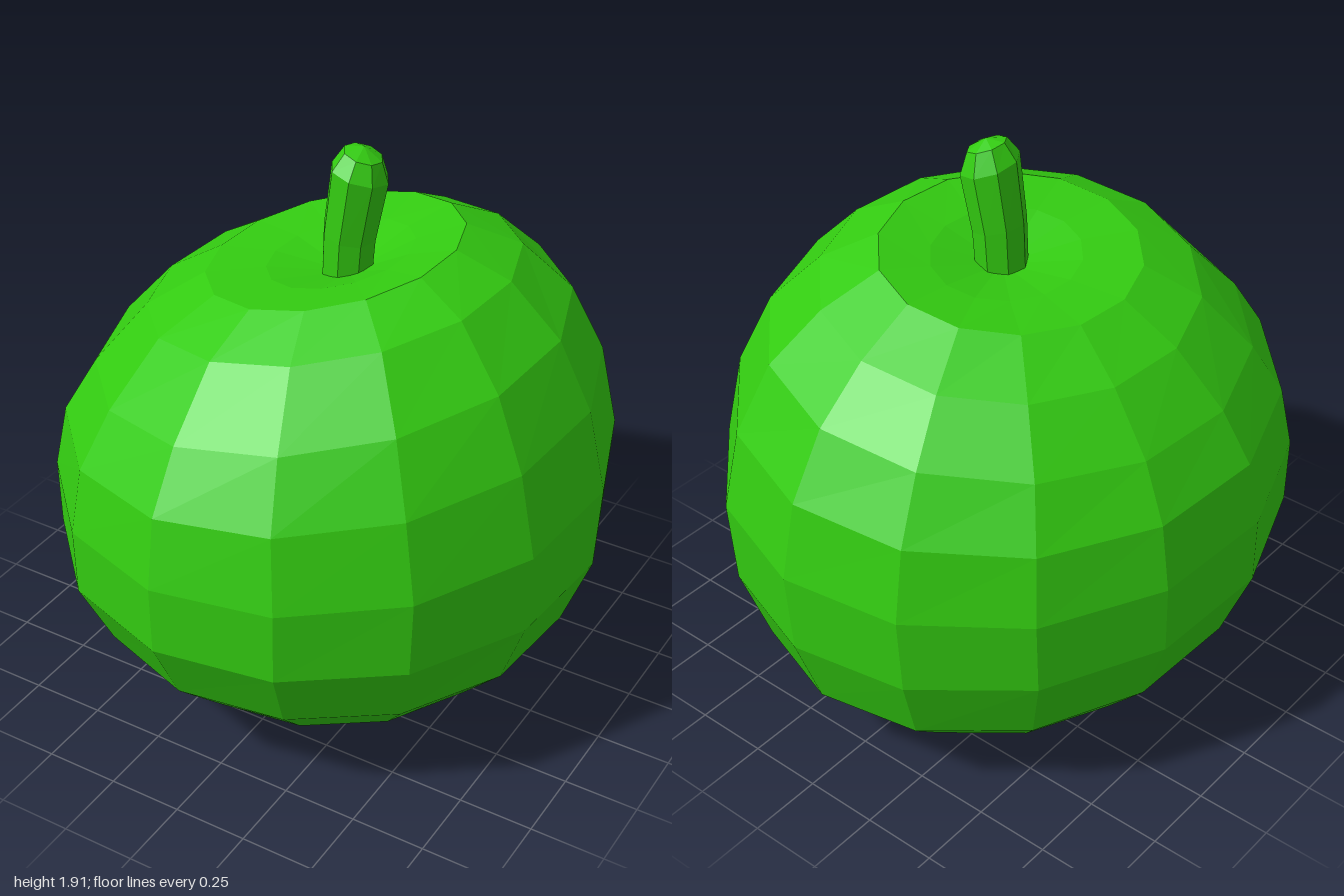
import * as THREE from 'three';

// Skin a stack of tilted elliptical rings, bottom to top, and close both ends with a fan.
// Ring: [cx, cy, cz, rx, rz, rise toward +x, rise toward +z]
function loft(rings, sides, turn, bottom, top) {
  const pos = [], index = [];
  for (const [cx, cy, cz, rx, rz, tx, tz] of rings) {
    for (let i = 0; i < sides; i++) {
      const a = turn + (i / sides) * Math.PI * 2;
      const s = Math.sin(a), c = Math.cos(a);
      pos.push(cx + rx * s, cy + tx * s + tz * c, cz + rz * c);
    }
  }
  const b = rings.length * sides, t = b + 1;
  pos.push(...bottom, ...top);
  for (let i = 0; i < sides; i++) {
    const j = (i + 1) % sides;
    for (let r = 0; r < rings.length - 1; r++) {
      const p = r * sides, q = p + sides;
      index.push(p + i, p + j, q + j, p + i, q + j, q + i);
    }
    const last = (rings.length - 1) * sides;
    index.push(b, j, i, t, last + i, last + j);
  }
  const geo = new THREE.BufferGeometry();
  geo.setAttribute('position', new THREE.Float32BufferAttribute(pos, 3));
  geo.setIndex(index);
  const flat = geo.toNonIndexed();
  flat.computeVertexNormals();
  return flat;
}

export function createModel() {
  const group = new THREE.Group();
  const green = new THREE.MeshStandardMaterial({ color: 0x33cc11, flatShading: true });

  // Round body: dimpled underneath, with a sunken top that leans up toward +x
  const bodyRings = [
    [0.03, 0.007, -0.03, 0.25, 0.27, -0.005, 0.003],
    [0.00, 0.031, -0.03, 0.41, 0.45, -0.008, 0.01],
    [-0.01, 0.135, -0.02, 0.62, 0.68, -0.005, 0.025],
    [-0.01, 0.325, -0.01, 0.79, 0.88, -0.01, 0.04],
    [-0.005, 0.575, 0.005, 0.885, 0.985, 0.0, 0.035],
    [0.0, 0.835, 0.0, 0.893, 0.998, 0.025, 0.015],
    [-0.01, 1.08, 0.0, 0.84, 0.95, 0.06, 0.0],
    [-0.015, 1.28, 0.0, 0.735, 0.83, 0.09, -0.012],
    [-0.02, 1.455, -0.01, 0.57, 0.65, 0.085, 0.005],
    [-0.015, 1.55, -0.005, 0.39, 0.455, 0.065, -0.003],
    [0.0, 1.535, -0.01, 0.22, 0.27, 0.035, 0.0],
  ];
  const body = new THREE.Mesh(
    loft(bodyRings, 14, THREE.MathUtils.degToRad(-4), [0.03, 0.04, -0.02], [0.03, 1.48, 0]), green);
  body.name = 'body';
  group.add(body);

  // Short bent stem with a chamfered tip
  const stemRings = [
    [0.025, 1.43, 0.0, 0.08, 0.09, 0, 0],
    [0.035, 1.62, -0.003, 0.083, 0.093, -0.02, 0],
    [0.067, 1.825, -0.01, 0.09, 0.1, -0.022, 0.015],
    [0.075, 1.888, -0.015, 0.06, 0.066, -0.018, 0.006],
  ];
  const stem = new THREE.Mesh(
    loft(stemRings, 8, 0.2, [0.025, 1.43, 0], [0.075, 1.912, -0.02]), green);
  stem.name = 'stem';
  group.add(stem);

  return group;
}
